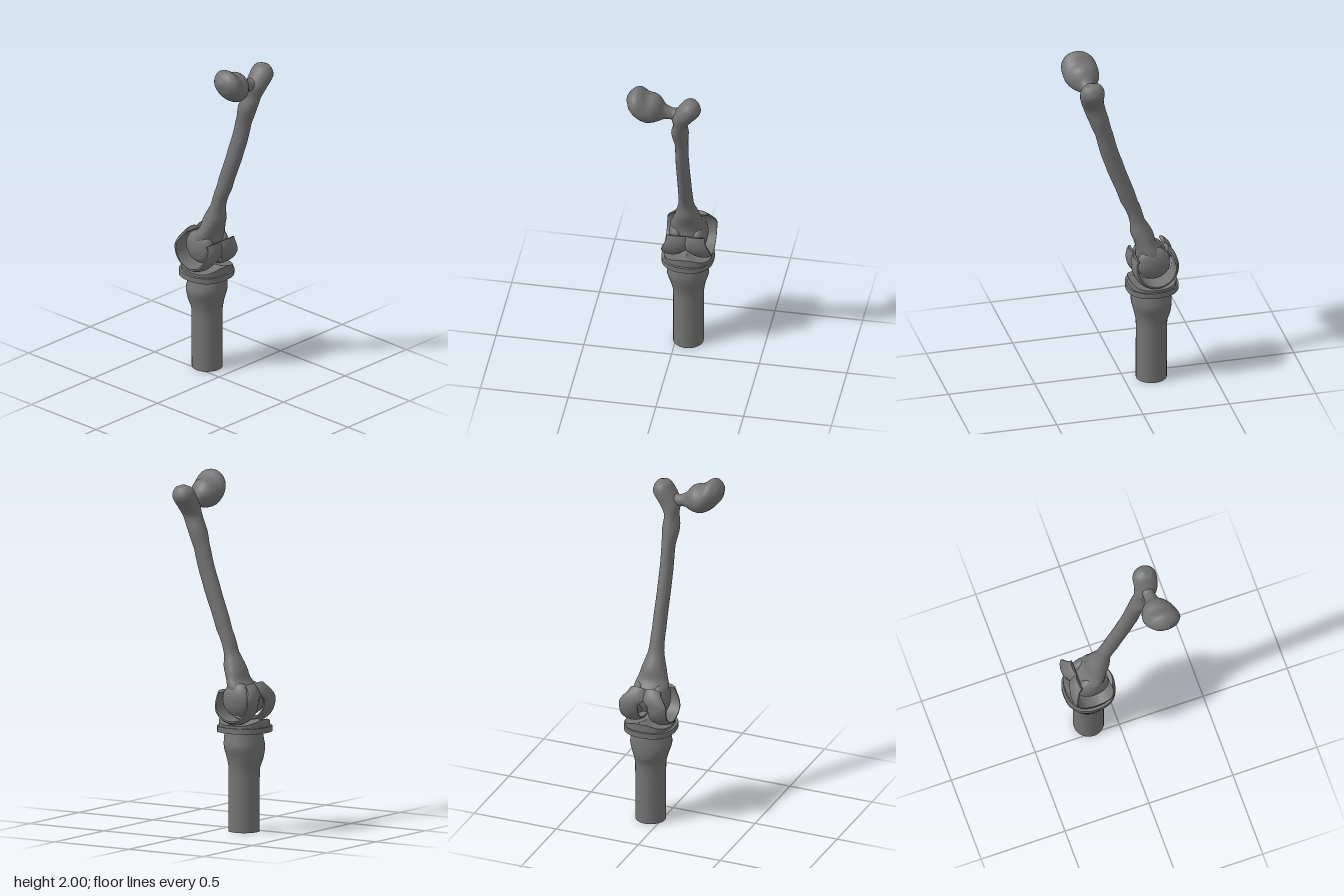
import * as THREE from 'three';
import { toCreasedNormals } from 'three/addons/utils/BufferGeometryUtils.js';

const MID_X = 0.07, KNEE_Y = 0.745, KNEE_Z = -0.16;

// Skins a list of closed rings and caps both ends, keeping faces outward.
function skin(rings, crease = 0.7) {
  const n = rings[0].length, m = rings.length, pos = [], idx = [];
  rings.forEach(r => r.forEach(p => pos.push(p.x, p.y, p.z)));
  for (let i = 0; i < m - 1; i++) for (let j = 0; j < n; j++) {
    const a = i * n + j, b = i * n + (j + 1) % n;
    idx.push(a, a + n, b, b, a + n, b + n);
  }
  [0, m - 1].forEach((row, end) => {
    const c = new THREE.Vector3();
    rings[row].forEach(p => c.addScaledVector(p, 1 / n));
    const k = pos.length / 3;
    pos.push(c.x, c.y, c.z);
    for (let j = 0; j < n; j++) {
      const a = row * n + j, b = row * n + (j + 1) % n;
      if (end) idx.push(a, k, b); else idx.push(b, k, a);
    }
  });
  const v = i => new THREE.Vector3().fromArray(pos, i * 3);
  let volume = 0;
  for (let i = 0; i < idx.length; i += 3) volume += v(idx[i]).dot(v(idx[i + 1]).cross(v(idx[i + 2])));
  if (volume < 0) idx.reverse();
  const g = new THREE.BufferGeometry();
  g.setAttribute('position', new THREE.Float32BufferAttribute(pos, 3));
  g.setIndex(idx);
  return toCreasedNormals(g, crease);
}

// Rounded-square ring at height a; power 1 gives an ellipse.
function ring(a, u, ru, w, rw, place, power = 1, n = 28) {
  const sq = t => Math.sign(t) * Math.abs(t) ** power;
  return Array.from({ length: n }, (_, j) => {
    const t = j / n * Math.PI * 2;
    return place(u + ru * sq(Math.cos(t)), a, w + rw * sq(Math.sin(t)));
  });
}
const upright = (u, a, w) => new THREE.Vector3(u, a, w);
const sideways = (u, a, w) => new THREE.Vector3(a, w, u);

// Smooth loft through stations [along, uMin, uMax, wMin, wMax].
function loft(stations, place, steps = 4) {
  const at = (i, k) => stations[Math.min(Math.max(i, 0), stations.length - 1)][k];
  const rings = [];
  for (let s = 0; s <= (stations.length - 1) * steps; s++) {
    const i = Math.floor(s / steps), t = s / steps - i;
    const [a, u0, u1, w0, w1] = [0, 1, 2, 3, 4].map(k => {
      const p0 = at(i - 1, k), p1 = at(i, k), p2 = at(i + 1, k), p3 = at(i + 2, k);
      return k === 0 ? p1 + (p2 - p1) * t : p1 + 0.5 * t * (p2 - p0 + t * (2 * p0 - 5 * p1 + 4 * p2 - p3 + t * (3 * (p1 - p2) + p3 - p0)));
    });
    rings.push(ring(a, (u0 + u1) / 2, (u1 - u0) / 2, (w0 + w1) / 2, (w1 - w0) / 2, place));
  }
  return skin(rings);
}

// Half of the curved knee shell: a C-shaped band, bridged at front and back.
function shellHalf(side) {
  const rings = [], steps = 48, smooth = THREE.MathUtils.smoothstep;
  for (let i = 0; i <= steps; i++) {
    const deg = 25 - 258 * i / steps, phi = deg * Math.PI / 180;
    const open = smooth(-deg, 22, 42) * (1 - smooth(-deg, 180, 200));
    const inner = 0.032 * open;
    const outer = 0.142 - 0.035 * smooth(deg, -40, 25) - 0.05 * smooth(-deg, 185, 233);
    const points = [];
    const add = (w, r) => points.push(new THREE.Vector3(
      MID_X + side * (inner + (outer - inner) * w), KNEE_Y + r * Math.sin(phi), KNEE_Z + r * Math.cos(phi)));
    for (let j = 0; j <= 8; j++) {
      const w = j / 8;
      add(w, 0.116 + 0.016 * Math.sin(Math.PI * w) ** 0.7);
    }
    for (let j = 8; j >= 0; j--) add(j / 8, 0.107);
    rings.push(points);
  }
  return skin(rings, 0.8);
}

// Bearing plate with a dished top and a raised middle at front and back.
function bearing() {
  const flat = (y, r) => ring(y, MID_X, r * 0.135, KNEE_Z, r * 0.135, upright, 0.8, 36);
  const rings = [flat(0.598, 1)];
  [1, 0.97, 0.8, 0.6, 0.4, 0.2, 0.02].forEach(r => {
    const top = flat(0, r);
    top.forEach(p => {
      const dx = (p.x - MID_X) / 0.135, dz = (p.z - KNEE_Z) / 0.135;
      p.y = 0.614 + 0.031 * Math.min(1, dz * dz) * Math.max(0, 1 - 0.9 * dx * dx) + 0.02 * Math.exp(-dx * dx * 30);
      p.y = Math.min(p.y, 0.645);
    });
    rings.push(top);
  });
  return skin(rings, 0.6);
}

export function createModel() {
  const model = new THREE.Group();
  model.name = 'kneeReplacement';
  const grey = new THREE.MeshStandardMaterial({ color: 0x747474 });
  grey.name = 'grey';
  const add = (name, geometry, parent = model) => {
    const mesh = new THREE.Mesh(geometry, grey);
    mesh.name = name;
    parent.add(mesh);
    return mesh;
  };

  // Shin bone stump
  add('shinBone', loft([
    [0, -0.018, 0.155, -0.245, -0.07], [0.19, -0.018, 0.155, -0.246, -0.07],
    [0.36, -0.02, 0.157, -0.248, -0.07], [0.42, -0.036, 0.168, -0.268, -0.058],
    [0.48, -0.054, 0.185, -0.272, -0.044], [0.53, -0.044, 0.178, -0.268, -0.042],
    [0.575, -0.035, 0.17, -0.262, -0.048]], upright));

  // Tray and bearing plate
  const trayRing = (y, r) => ring(y, MID_X - 0.004, r, KNEE_Z, r, upright, 0.85, 32);
  add('tray', skin([trayRing(0.568, 0.148), trayRing(0.6, 0.148)]));
  add('bearingPlate', bearing());

  // Curved metal shell of the joint
  const shell = new THREE.Group();
  shell.name = 'kneeShell';
  model.add(shell);
  add('leftShell', shellHalf(1), shell);
  add('rightShell', shellHalf(-1), shell);

  // Thigh bone, from the knee up to the outer knob
  const thigh = new THREE.Group();
  thigh.name = 'thighBone';
  model.add(thigh);
  add('shaft', loft([
    [0.69, 0.02, 0.12, -0.22, -0.10], [0.76, -0.02, 0.16, -0.25, -0.07],
    [0.82, -0.033, 0.17, -0.215, -0.07], [0.87, -0.015, 0.155, -0.178, -0.058],
    [0.93, 0.005, 0.138, -0.162, -0.036], [1.01, 0.026, 0.115, -0.117, -0.03],
    [1.13, 0.033, 0.111, -0.077, 0.02], [1.4, 0.037, 0.111, 0.013, 0.118],
    [1.58, 0.04, 0.115, 0.066, 0.168], [1.68, 0.026, 0.124, 0.092, 0.208],
    [1.76, 0.043, 0.122, 0.115, 0.238], [1.82, 0.035, 0.165, 0.128, 0.258],
    [1.87, 0.06, 0.2, 0.13, 0.268], [1.905, 0.083, 0.196, 0.136, 0.264],
    [1.932, 0.104, 0.18, 0.155, 0.245], [1.945, 0.135, 0.155, 0.19, 0.21]], upright));

  // Neck and head of the hip
  add('neckAndHead', loft([
    [-0.215, 0.195, 0.23, 1.91, 1.945], [-0.2, 0.155, 0.275, 1.872, 1.97],
    [-0.17, 0.125, 0.303, 1.835, 1.994], [-0.14, 0.108, 0.308, 1.808, 1.992],
    [-0.1, 0.103, 0.302, 1.79, 1.96], [-0.06, 0.112, 0.285, 1.79, 1.953],
    [-0.03, 0.13, 0.262, 1.797, 1.935], [0, 0.153, 0.236, 1.808, 1.893],
    [0.05, 0.158, 0.226, 1.805, 1.872], [0.11, 0.15, 0.24, 1.81, 1.89]], sideways));

  // Rounded bone ends inside the shell
  for (const [name, side] of [['leftBoneEnd', 1], ['rightBoneEnd', -1]]) {
    const g = new THREE.SphereGeometry(1, 24, 18);
    g.scale(0.05, 0.097, 0.097);
    add(name, g, thigh).position.set(MID_X + side * 0.06, KNEE_Y + 0.008, KNEE_Z + 0.004);
  }
  return model;
}
